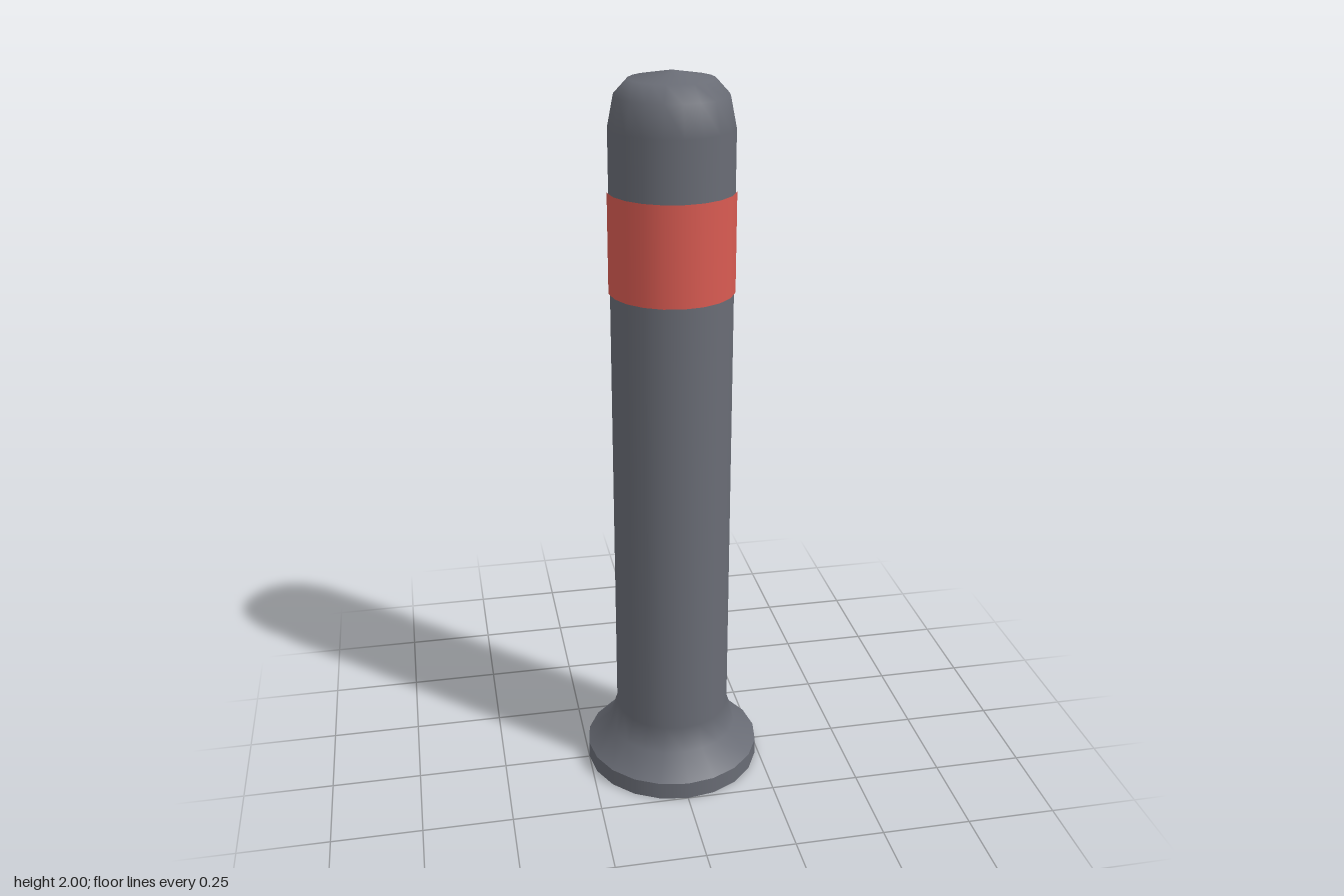
import * as THREE from 'three';

const SIDES = 20;

export function createModel() {
  const group = new THREE.Group();
  group.name = 'bollard';
  const grey = new THREE.MeshStandardMaterial({ name: 'dark grey', color: 0x696c75 });
  const red = new THREE.MeshStandardMaterial({ name: 'red', color: 0xd95b52 });

  const add = (name, geometry, material) => {
    const mesh = new THREE.Mesh(geometry, material);
    mesh.name = name;
    group.add(mesh);
    return mesh;
  };
  const lathe = (points) =>
    new THREE.LatheGeometry(points.map(([r, y]) => new THREE.Vector2(r, y)), SIDES);

  // Flat foot with a hard rim
  add('footRim', lathe([[0.25, 0], [0.25, 0.05]]), grey);
  const underside = new THREE.CircleGeometry(0.25, SIDES).rotateX(Math.PI / 2);
  add('footUnderside', underside, grey);

  // Flared skirt, straight post and domed top as one smooth surface
  add('post', lathe([
    [0.25, 0.05], [0.185, 0.11], [0.163, 0.18],
    [0.163, 1.86], [0.147, 1.94], [0.11, 1.98], [0, 2],
  ]), grey);

  // Reflective band wrapped around the post
  const band = new THREE.CylinderGeometry(0.167, 0.167, 0.265, SIDES, 1, true);
  add('band', band, red).position.y = 1.57;

  return group;
}
